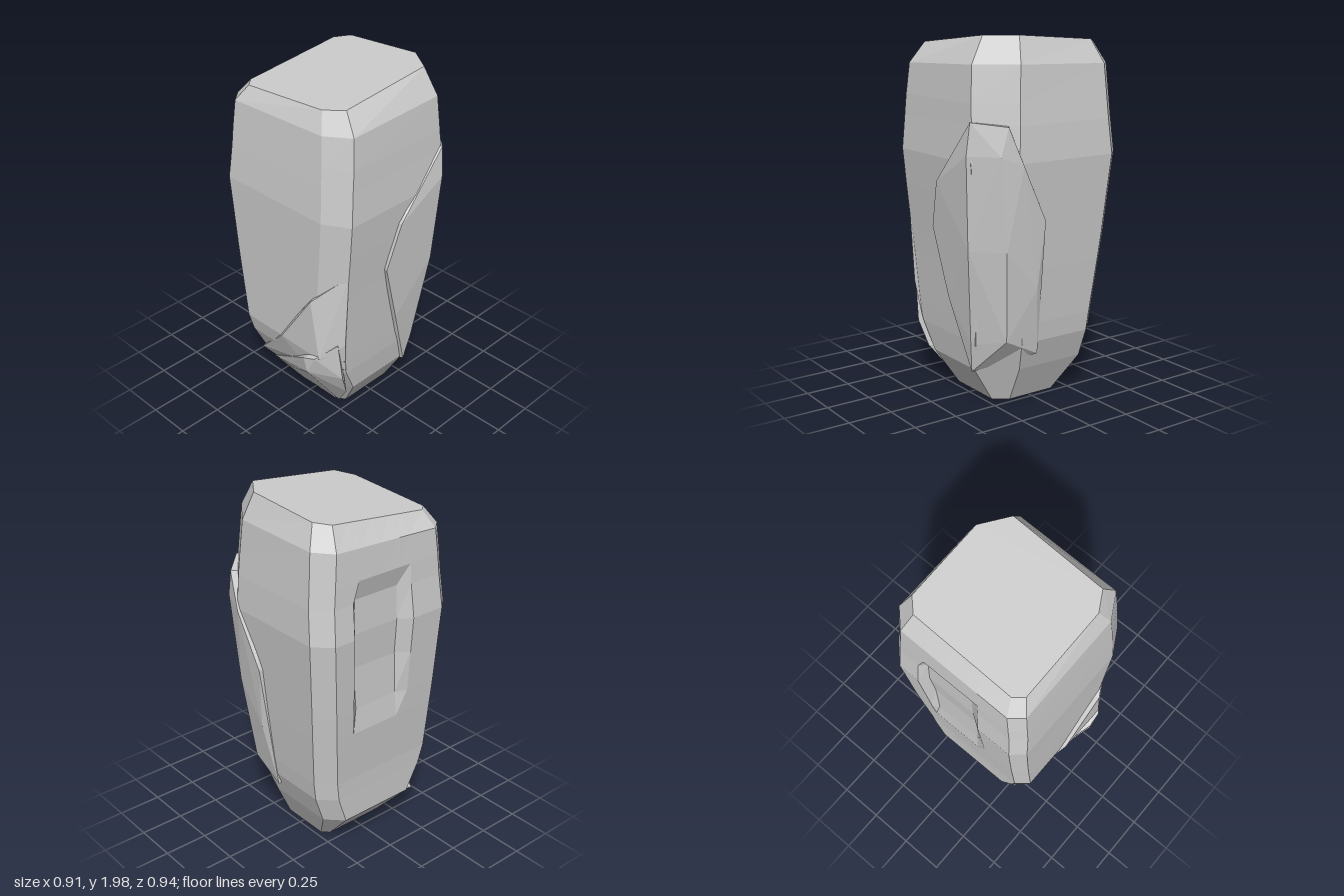
import * as THREE from 'three';
import { ConvexGeometry } from 'three/addons/geometries/ConvexGeometry.js';

const stone = new THREE.MeshStandardMaterial({ color: 0xcccccc, flatShading: true });

// Body levels: y, xMin, xMax, zMin, zMax, depth of the side hollow
const LEVELS = [
  [0.01, -0.19, 0.21, -0.22, 0.20, 0],
  [0.21, -0.37, 0.33, -0.31, 0.31, 0],
  [0.37, -0.375, 0.355, -0.365, 0.39, 0],
  [0.48, -0.38, 0.365, -0.38, 0.42, 0],
  [0.78, -0.409, 0.388, -0.41, 0.427, 0],
  [0.92, -0.422, 0.40, -0.423, 0.43, 0.025],
  [1.16, -0.44, 0.423, -0.443, 0.435, 0.05],
  [1.36, -0.455, 0.44, -0.46, 0.44, 0.05],
  [1.55, -0.435, 0.43, -0.45, 0.425, 0.035],
  [1.66, -0.43, 0.425, -0.44, 0.415, 0],
  [1.83, -0.42, 0.41, -0.425, 0.40, 0],
  [1.945, -0.35, 0.33, -0.37, 0.35, 0],
];

// One chamfered-rectangle loop, counterclockwise from above
function ring([y, x0, x1, z0, z1, dent], i) {
  const end = i === 0 ? 0.4 : i === LEVELS.length - 1 ? 0.75 : 1;
  const c = (v) => v * end;
  const zb = z0 + c(0.09), zf = z1 - c(0.07);
  const hollow = [0.17, 0.22, 0.42, 0.62, 0.72].map((t, k) =>
    [x0 + (k > 0 && k < 4 ? dent : 0), zb + (zf - zb) * t]);
  const loop = [
    [x1, z1 - c(0.08)], [x1, z0 + c(0.14)],
    [x1 - c(0.2), z0], [x0 + c(0.09), z0],
    [x0, zb], ...hollow, [x0, zf],
    [x0 + c(0.06), z1], [x1 - c(0.14), z1],
  ];
  // The crown leans up toward the back and one side
  const lean = i >= LEVELS.length - 2 ? (i === LEVELS.length - 1 ? 1 : 0.4) : 0;
  return loop.map(([x, z]) => [x, y + lean * (0.07 * x - 0.1 * z), z]);
}

function bodyGeometry() {
  const rings = LEVELS.map(ring);
  const n = rings[0].length;
  const pos = [];
  const tri = (...pts) => pts.forEach((p) => pos.push(...p));
  for (let i = 0; i < rings.length - 1; i++) {
    for (let j = 0; j < n; j++) {
      const k = (j + 1) % n;
      tri(rings[i][j], rings[i][k], rings[i + 1][k]);
      tri(rings[i][j], rings[i + 1][k], rings[i + 1][j]);
    }
  }
  // Flat caps
  const top = rings[rings.length - 1], base = rings[0];
  for (let j = 1; j < n - 1; j++) {
    tri(top[0], top[j], top[j + 1]);
    tri(base[0], base[j + 1], base[j]);
  }
  const g = new THREE.BufferGeometry();
  g.setAttribute('position', new THREE.Float32BufferAttribute(pos, 3));
  g.computeVertexNormals();
  return g;
}

// A raised layer: outer points plus copies sunk into the body
function layer(points) {
  const outer = points.map((p) => new THREE.Vector3(...p));
  const inner = outer.map((p) => new THREE.Vector3(p.x * 0.85, p.y, p.z * 0.85));
  return new ConvexGeometry([...outer, ...inner]);
}

export function createModel() {
  const group = new THREE.Group();
  group.name = 'boulder';
  const add = (name, geometry) => {
    const mesh = new THREE.Mesh(geometry, stone);
    mesh.name = name;
    group.add(mesh);
  };

  add('rockBody', bodyGeometry());

  // Slanting ledges low on the front
  add('upperFrontLedge', layer([
    [-0.34, 0.18, 0.31], [-0.02, 0.5, 0.44], [0.23, 0.86, 0.455], [0.41, 1.05, 0.35],
    [0.385, 0.6, 0.35], [0.28, 0.5, 0.445], [0.1, 0.38, 0.41], [0.36, 0.4, 0.32],
    [-0.27, 0.13, 0.27],
  ]));
  add('lowerFrontLedge', layer([
    [-0.28, 0.12, 0.27], [-0.03, 0.21, 0.345], [0.18, 0.47, 0.465], [0.36, 0.6, 0.38],
    [0.26, 0.5, 0.46], [0.2, 0.38, 0.46], [0.365, 0.36, 0.35], [0.335, 0.22, 0.29],
    [0.2, 0.03, 0.21], [-0.1, 0.02, 0.21],
  ]));

  // Raised plate wrapped around the back corner
  add('cornerPlate', layer([
    [0.44, 1.57, -0.31], [0.448, 1.23, 0], [0.425, 0.97, 0.08], [0.4, 0.6, -0.03],
    [0.345, 0.2, -0.17], [0.457, 1.4, -0.3], [0.43, 0.9, -0.27], [0.37, 0.37, -0.2],
    [0.3, 1.55, -0.45], [0.22, 1.35, -0.472], [0.07, 1.05, -0.455], [0.1, 0.68, -0.425],
    [0.05, 0.3, -0.36], [0.34, 1.4, -0.44], [0.29, 0.9, -0.42], [0.25, 0.4, -0.36],
  ]));

  return group;
}
